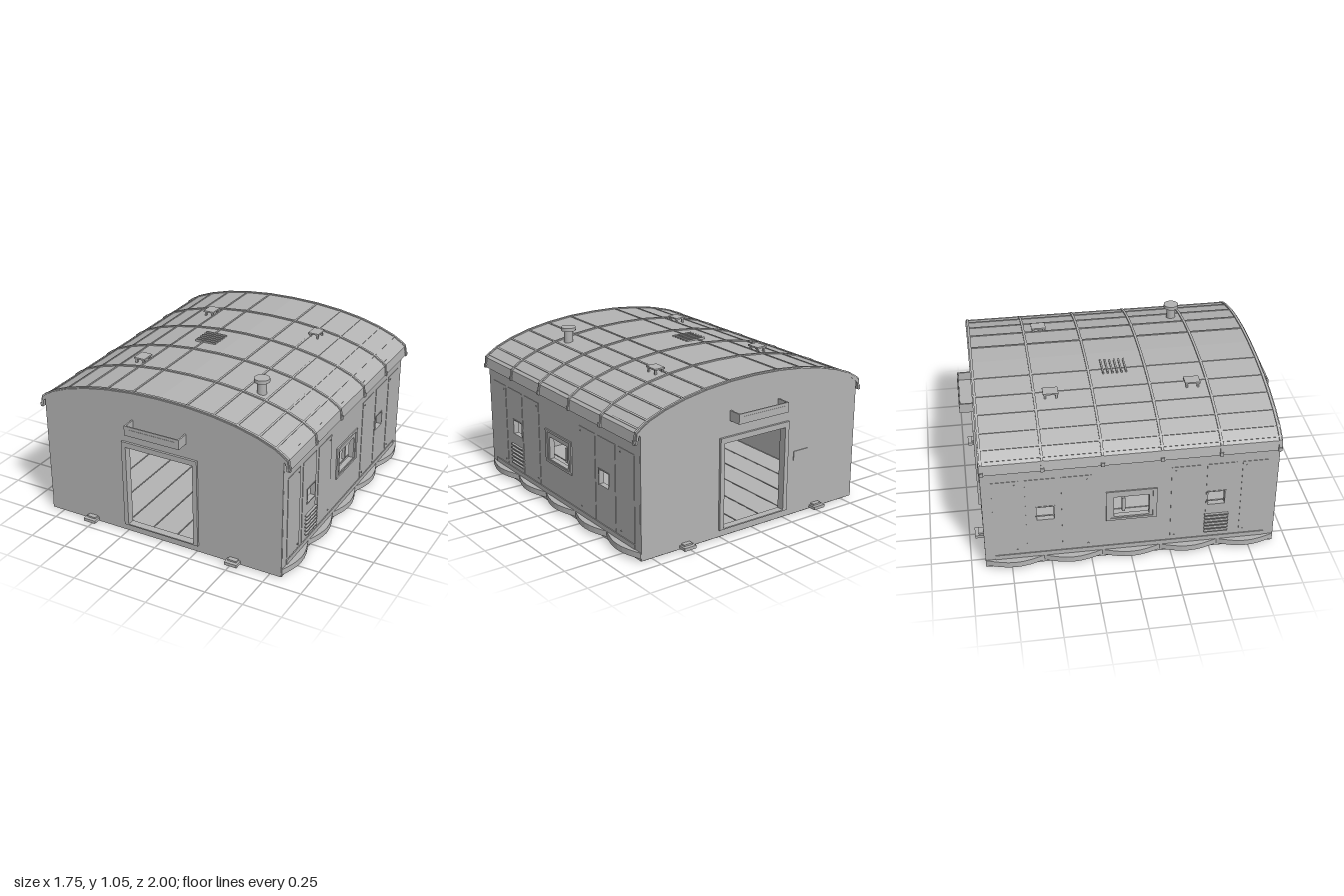
import * as THREE from 'three';

const grey = new THREE.MeshStandardMaterial({ color: 0xb4b4b4 });
grey.name = 'paintedMetalGrey';

// Right half of the roof outline, ridge to eave
const ROOF = [[0, 0.988], [0.185, 0.983], [0.365, 0.965], [0.52, 0.938], [0.66, 0.9],
  [0.77, 0.857], [0.83, 0.818], [0.853, 0.8], [0.862, 0.735]];
const RIB_Z = [-0.9, -0.54, -0.18, 0.18, 0.54, 0.9];

function add(parent, name, geometry) {
  const mesh = new THREE.Mesh(geometry, grey);
  mesh.name = name;
  parent.add(mesh);
  return mesh;
}

function box(parent, name, w, h, d, x, y, z) {
  const mesh = add(parent, name, new THREE.BoxGeometry(w, h, d));
  mesh.position.set(x, y, z);
  return mesh;
}

const pts = (list) => list.map(([x, y]) => new THREE.Vector2(x, y));
const rect = (x0, y0, x1, y1) => pts([[x0, y0], [x1, y0], [x1, y1], [x0, y1]]);

function extrude(outline, holes, depth) {
  const shape = new THREE.Shape(outline);
  holes.forEach((h) => shape.holes.push(new THREE.Path(h)));
  return new THREE.ExtrudeGeometry(shape, { depth, bevelEnabled: false });
}

// Full outline across the roof, shifted up and outwards
function roofLine(up, out) {
  const half = ROOF.map(([x, y]) => [x + (x > 0.8 ? out : 0), y + (x > 0.85 && y < 0.75 ? 0 : up)]);
  return [...half.slice(1).reverse().map(([x, y]) => [-x, y]), ...half];
}

// Curved band between two shifted roof outlines
function roofBand(parent, name, low, high, z, depth) {
  const outline = [...roofLine(...low), ...roofLine(...high).reverse()];
  const mesh = add(parent, name, extrude(pts(outline), [], depth));
  mesh.position.z = z - depth / 2;
}

// End wall with doorway, frame, tray and feet
function makeEnd(back) {
  const end = new THREE.Group();
  end.name = back ? 'backEnd' : 'frontEnd';
  const top = ROOF.slice(0, 7).map(([x, y]) => [x, y - 0.006]);
  const outline = [[-0.828, 0.005], [0.828, 0.005], ...top.slice().reverse(),
    ...top.slice(1).map(([x, y]) => [-x, y])];
  const door = rect(-0.235, 0.06, 0.235, 0.61);
  add(end, 'endWall', extrude(pts(outline), [door], 0.03)).position.z = 0.882;
  add(end, 'doorFrame', extrude(rect(-0.265, 0.052, 0.265, 0.645), [door], 0.05)).position.z = 0.877;

  // Open tray above the doorway
  box(end, 'trayBottom', 0.38, 0.01, 0.09, 0, 0.745, 0.953);
  box(end, 'trayFront', 0.38, 0.064, 0.008, 0, 0.772, 0.994);
  box(end, 'trayInset', 0.32, 0.03, 0.003, 0, 0.77, 0.9985);
  for (const s of [-1, 1]) {
    box(end, 'trayEnd', 0.01, 0.064, 0.088, s * 0.185, 0.772, 0.953);
    box(end, 'footPlate', 0.085, 0.02, 0.055, s * 0.512, 0.02, 0.938);
    box(end, 'footLug', 0.06, 0.012, 0.03, s * 0.512, 0.034, 0.927);
  }
  if (back) {
    end.rotation.y = Math.PI;
    box(end, 'smallPlate', 0.12, 0.06, 0.006, 0.38, 0.4, 0.914);
  }
  return end;
}

// Side wall with windows, panels, louvres and scalloped skirt
function makeSide(s) {
  const side = new THREE.Group();
  side.name = s > 0 ? 'leftSide' : 'rightSide';
  if (s < 0) side.rotation.y = Math.PI;
  const plate = (name, outline, holes, depth, x) => {
    const geo = extrude(outline, holes, depth).rotateY(Math.PI / 2);
    add(side, name, geo).position.x = x;
  };
  const bigWindow = rect(-0.11, 0.315, 0.11, 0.465);
  const smallWindows = [-1, 1].map((k) => rect(k * 0.53 - 0.053, 0.345, k * 0.53 + 0.053, 0.44));
  plate('sideWall', rect(-0.905, 0.005, 0.905, 0.8), [bigWindow, ...smallWindows], 0.03, 0.8);
  plate('windowFrame', rect(-0.158, 0.29, 0.158, 0.51), [rect(-0.132, 0.305, 0.132, 0.495)], 0.012, 0.827);
  plate('windowSash', rect(-0.134, 0.303, 0.134, 0.497), [bigWindow], 0.012, 0.822);
  box(side, 'windowHandle', 0.02, 0.1, 0.02, 0.795, 0.38, -0.045 * s);

  [-1, 1].forEach((k, i) => {
    for (const [a, b] of [[0.685, 0.85], [0.465, 0.65], [0.245, 0.43]]) {
      const u0 = Math.min(k * a, k * b), u1 = Math.max(k * a, k * b);
      const middle = a === 0.465;
      plate('sidePanel', rect(u0, 0.095, u1, 0.652), middle ? [smallWindows[i]] : [], 0.004, 0.829);
      if (middle) continue;
      for (const y of [0.125, 0.625]) {
        const outer = k * (a > 0.6 ? 0.71 : a + 0.025);
        const rivet = add(side, 'rivet', new THREE.CylinderGeometry(0.005, 0.005, 0.006, 6).rotateZ(Math.PI / 2));
        rivet.position.set(0.834, y, -outer);
      }
    }
    const w = k * 0.53;
    plate('smallWindowFrame', rect(w - 0.06, 0.338, w + 0.06, 0.447), [smallWindows[i]], 0.008, 0.828);
  });

  // Louvres near the front end
  for (let i = 0; i < 6; i++) box(side, 'louvre', 0.022, 0.008, 0.15, 0.838, 0.135 + i * 0.026, 0.535 * s);

  // Skirt with five shallow bulges
  box(side, 'skirtRail', 0.012, 0.03, 1.7, 0.83, 0.075, 0);
  const bulge = [[0.81, 0.91], [0.81, -0.91]];
  for (let i = 0; i <= 40; i++) {
    bulge.push([0.832 + 0.044 * Math.sin(Math.PI * ((i % 8) / 8)), -0.91 + (1.82 * i) / 40]);
  }
  add(side, 'scallopedSkirt', extrude(pts(bulge), [], 0.038).rotateX(-Math.PI / 2)).position.y = 0.02;
  return side;
}

function makeRoof() {
  const roof = new THREE.Group();
  roof.name = 'roof';
  roofBand(roof, 'roofShell', [-0.018, -0.012], [0, 0], 0, 1.83);
  for (const z of RIB_Z) roofBand(roof, 'crossRib', [-0.004, -0.003], [0.008, 0.005], z, 0.016);

  // Lengthwise battens on the sheet joints
  for (const s of [-1, 1]) {
    for (let i = 1; i < 7; i++) {
      const [x, y] = ROOF[i];
      const batten = box(roof, 'batten', 0.012, 0.008, 1.82, s * x, y, 0);
      batten.rotation.z = -s * Math.atan2(ROOF[i - 1][1] - ROOF[i + 1][1], ROOF[i + 1][0] - ROOF[i - 1][0]);
    }
    for (const z of RIB_Z) box(roof, 'eaveClip', 0.014, 0.025, 0.022, s * 0.863, 0.745, z);
  }

  // Raised hatch plates on short legs
  for (const [x, z] of [[-0.4, -0.44], [0.395, -0.44], [-0.4, 0.44]]) {
    box(roof, 'hatchPlate', 0.075, 0.01, 0.095, x, 0.988, z);
    for (const dx of [-0.025, 0.025]) {
      for (const dz of [-0.035, 0.035]) box(roof, 'hatchLeg', 0.012, 0.035, 0.012, x + dx, 0.97, z + dz);
    }
  }
  // Vent slats
  for (let i = 0; i < 6; i++) box(roof, 'ventSlat', 0.15, 0.014, 0.01, -0.165, 0.987, -0.09 + i * 0.029);

  // Chimney with cap
  const tube = (name, r, y0, y1) => {
    const mesh = add(roof, name, new THREE.CylinderGeometry(r, r, y1 - y0, 16));
    mesh.position.set(0.46, (y0 + y1) / 2, 0.47);
  };
  tube('chimneyPipe', 0.03, 0.9, 1.03);
  tube('chimneyCap', 0.049, 1.025, 1.048);
  tube('innerPipe', 0.018, 0.05, 0.92);
  return roof;
}

export function createModel() {
  const cabin = new THREE.Group();
  cabin.name = 'cabin';
  box(cabin, 'floor', 1.65, 0.045, 1.81, 0, 0.0225, 0);
  // Floor planks
  for (let i = -4; i <= 4; i++) box(cabin, 'floorPlank', 0.168, 0.006, 1.76, i * 0.175, 0.048, 0);
  cabin.add(makeEnd(false), makeEnd(true), makeSide(1), makeSide(-1), makeRoof());
  return cabin;
}
